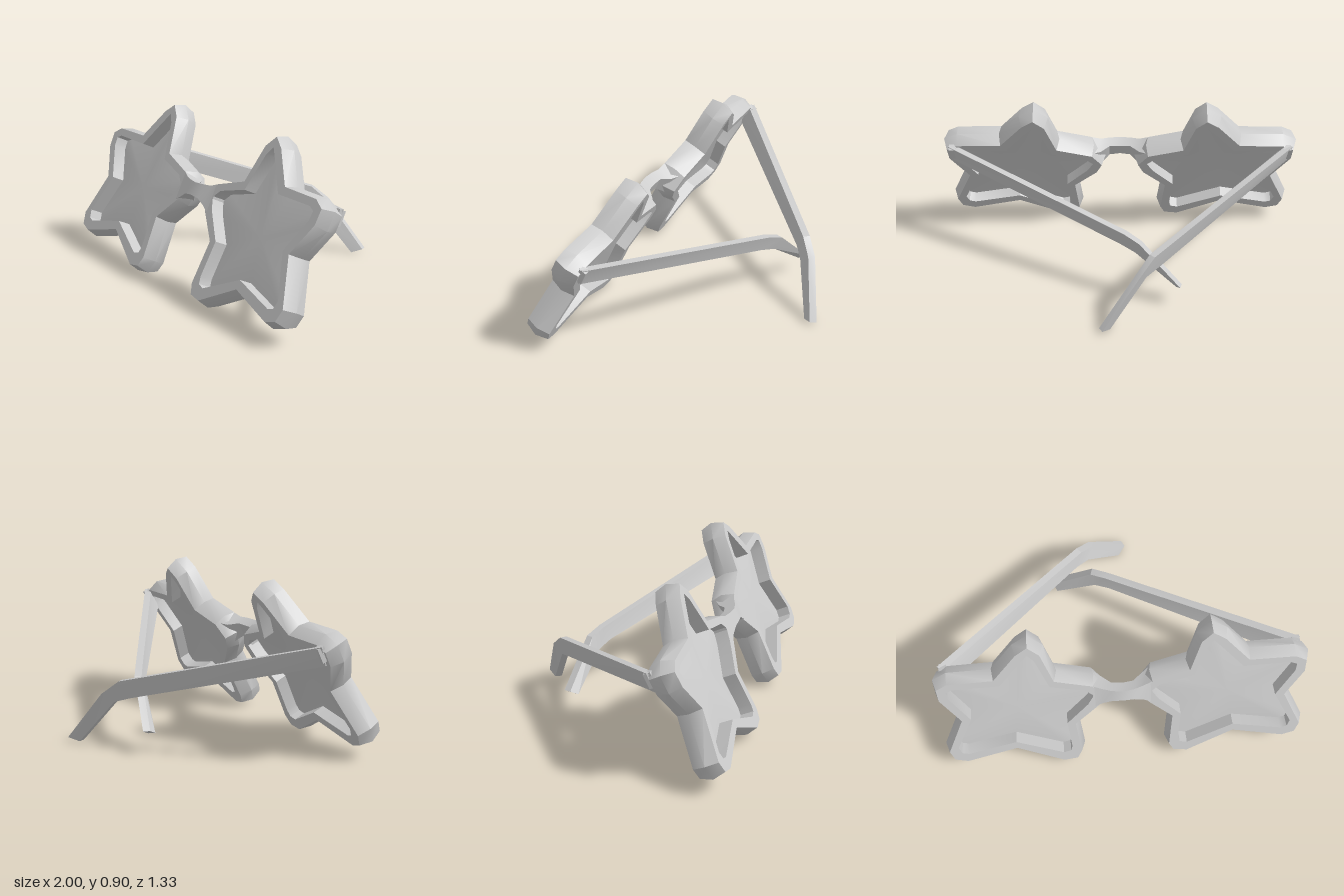
import * as THREE from 'three';
import { toCreasedNormals } from 'three/addons/utils/BufferGeometryUtils.js';

const V = (x, y, z) => new THREE.Vector3(x, y, z);
const TILT = 0.448, HALF = 0.07, BULGE = 0.022;
const material = new THREE.MeshStandardMaterial({ color: 0xcccccc });
const lensMaterial = new THREE.MeshStandardMaterial({ color: 0xcccccc, side: THREE.DoubleSide });

// Star outlines of the rim, clockwise from the top tip: three points per tip, one per notch
const OUTER = [
  [0.42, 0.845], [0.48, 0.9], [0.545, 0.855], [0.675, 0.7],
  [0.92, 0.697], [0.98, 0.665], [0.975, 0.59], [0.875, 0.435],
  [0.973, 0.21], [0.95, 0.15], [0.88, 0.13], [0.6, 0.2],
  [0.345, 0.075], [0.27, 0.085], [0.245, 0.135], [0.265, 0.345],
  [0.135, 0.465], [0.105, 0.53], [0.16, 0.605], [0.36, 0.66],
];
const INNER = [
  [0.45, 0.81], [0.485, 0.85], [0.52, 0.81], [0.645, 0.66],
  [0.895, 0.66], [0.93, 0.645], [0.925, 0.6], [0.825, 0.44],
  [0.92, 0.235], [0.905, 0.195], [0.87, 0.185], [0.6, 0.245],
  [0.345, 0.135], [0.305, 0.145], [0.295, 0.18], [0.31, 0.355],
  [0.19, 0.48], [0.155, 0.54], [0.2, 0.58], [0.385, 0.625],
];

// Heights above are upright; convert them to the tilted plane, mirrored for side -1
function outline(points, side) {
  const loop = points.map(([x, y]) => [x * side, (y - 0.485) / Math.cos(TILT)]);
  return side < 0 ? loop.reverse() : loop;
}

// Push a clockwise loop outward along its own normals
function inflate(loop, amount) {
  const n = loop.length;
  return loop.map(([x, y], i) => {
    const a = loop[(i + n - 1) % n], b = loop[(i + 1) % n];
    const tx = b[0] - a[0], ty = b[1] - a[1], l = Math.hypot(tx, ty);
    return [x - (ty / l) * amount, y + (tx / l) * amount];
  });
}

// Skin a series of rings (clockwise along the travel); either joined in a circle or capped
function loft(rings, circular, crease = 0.6) {
  const n = rings[0].length, m = rings.length, index = [];
  for (let k = 0; k < (circular ? m : m - 1); k++) {
    const r0 = k * n, r1 = ((k + 1) % m) * n;
    for (let i = 0; i < n; i++) {
      const j = (i + 1) % n;
      index.push(r0 + i, r0 + j, r1 + i, r0 + j, r1 + j, r1 + i);
    }
  }
  if (!circular) {
    const e = (m - 1) * n;
    for (let i = 1; i < n - 1; i++) index.push(0, i + 1, i, e, e + i, e + i + 1);
  }
  const g = new THREE.BufferGeometry().setFromPoints(rings.flat());
  g.setIndex(index);
  return toCreasedNormals(g, crease);
}

function add(parent, name, geometry, mat = material) {
  const mesh = new THREE.Mesh(geometry, mat);
  mesh.name = name;
  parent.add(mesh);
  return mesh;
}

// Star rim with a wall that swells at mid depth
function rimGeometry(side) {
  const outer = outline(OUTER, side), inner = outline(INNER, side);
  const ring = (loop, w) => loop.map(([x, y]) => V(x, y, w));
  return loft([
    ring(outer, HALF), ring(inflate(outer, BULGE), 0), ring(outer, -HALF),
    ring(inner, -HALF), ring(inner, HALF),
  ], true);
}

// Slightly domed star lens
function lensGeometry(side) {
  const loop = outline(INNER, side), n = loop.length, index = [];
  const points = [V(0.57 * side, -0.04, 0.015), ...loop.map(([x, y]) => V(x, y, -0.005))];
  for (let i = 0; i < n; i++) index.push(0, 1 + ((i + 1) % n), 1 + i);
  const g = new THREE.BufferGeometry().setFromPoints(points);
  g.setIndex(index);
  g.computeVertexNormals();
  return g;
}

// Bridge arching forward: half-sections of x, bottom, top, back, front
function bridgeGeometry() {
  const half = [
    [0, 0.03, 0.1, 0.03, 0.095], [0.06, 0.025, 0.105, 0.025, 0.088],
    [0.11, 0.0, 0.112, -0.02, 0.074], [0.16, -0.03, 0.133, -0.05, 0.069],
  ];
  const all = [...half.slice(1).reverse().map(([x, ...r]) => [-x, ...r]), ...half];
  return loft(all.map(([x, lo, hi, back, front]) =>
    [V(x, hi, back), V(x, hi, front), V(x, lo, front), V(x, lo, back)]), false);
}

// Temple arm: flat bar through pairs of top and bottom points
function templeGeometry(pairs, thickness = 0.038) {
  const tops = pairs.map(([t]) => V(...t));
  const rings = pairs.map(([t, b], i) => {
    const dir = tops[Math.min(i + 1, tops.length - 1)].clone().sub(tops[Math.max(i - 1, 0)]);
    const right = V(-dir.z, 0, dir.x).normalize().multiplyScalar(thickness / 2);
    const top = V(...t), bottom = V(...b);
    return [top.clone().sub(right), top.clone().add(right),
      bottom.clone().add(right), bottom.clone().sub(right)];
  });
  return loft(rings, false, 0.3);
}

export function createModel() {
  const model = new THREE.Group();
  model.name = 'starGlasses';

  // Front frame leaning back
  const front = new THREE.Group();
  front.name = 'frontFrame';
  front.position.set(0, 0.455, 0.4025);
  front.rotation.x = -TILT;
  model.add(front);
  for (const [side, label] of [[1, 'left'], [-1, 'right']]) {
    add(front, label + 'Rim', rimGeometry(side));
    add(front, label + 'Lens', lensGeometry(side), lensMaterial);
    // Hinge block behind the outer tip
    add(front, label + 'Hinge', new THREE.BoxGeometry(0.04, 0.08, 0.04))
      .position.set(side * 0.945, 0.19, -0.075);
  }
  add(front, 'bridge', bridgeGeometry());

  // Temples folded inward by different amounts
  add(model, 'leftTemple', templeGeometry([
    [[0.96, 0.635, 0.25], [0.94, 0.53, 0.29]],
    [[-0.03, 0.405, -0.3], [-0.01, 0.325, -0.27]],
    [[-0.11, 0.37, -0.345], [-0.09, 0.295, -0.31]],
    [[-0.33, 0.13, -0.405], [-0.31, 0.11, -0.365]],
  ]));
  add(model, 'rightTemple', templeGeometry([
    [[-0.96, 0.635, 0.25], [-0.94, 0.53, 0.29]],
    [[-0.17, 0.375, -0.48], [-0.2, 0.285, -0.43]],
    [[-0.1, 0.3, -0.545], [-0.13, 0.255, -0.485]],
    [[0.1, 0.025, -0.655], [0.06, 0.005, -0.605]],
  ]));
  return model;
}
